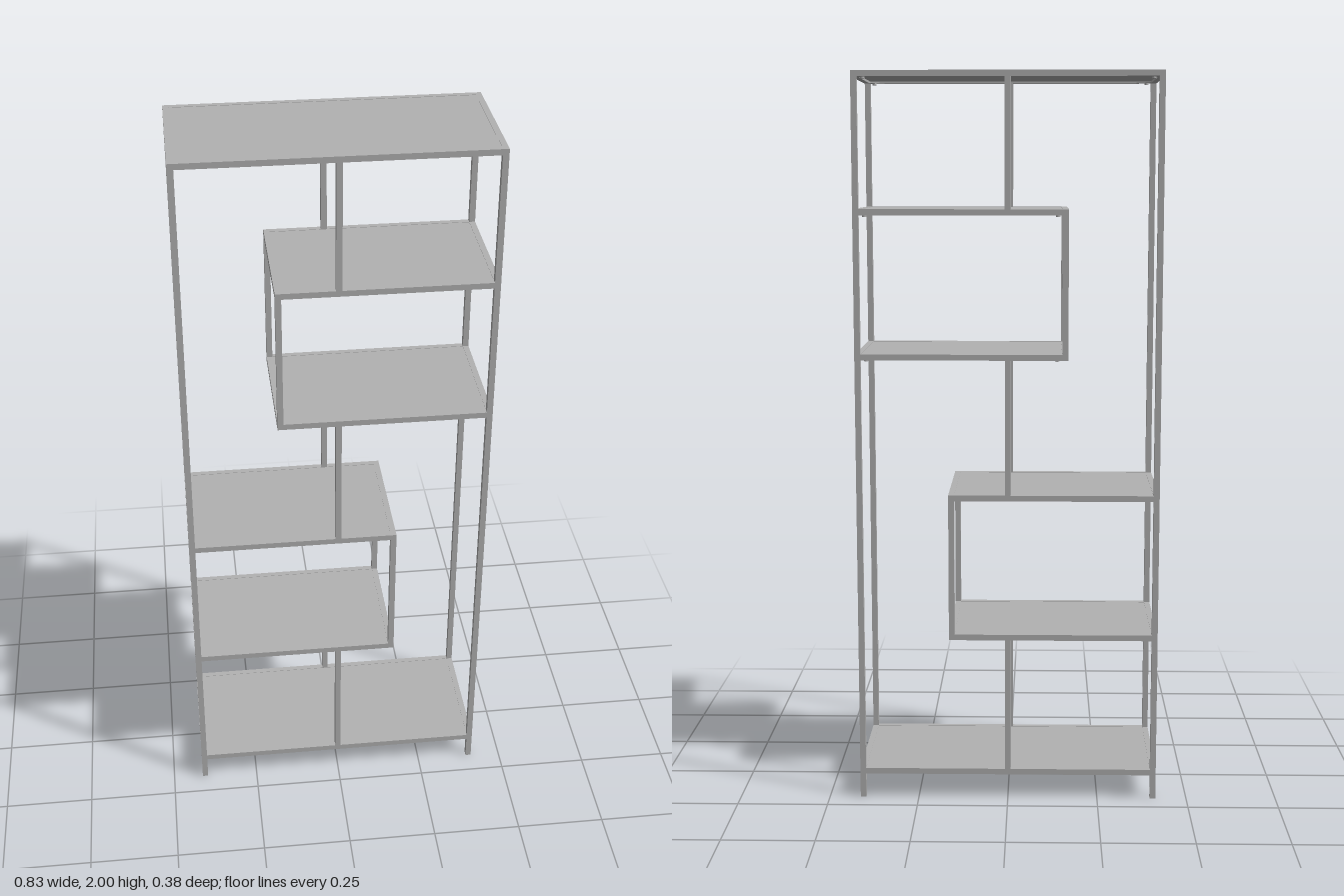
import * as THREE from 'three';

const T = 0.016;            // square tube width
const X = 0.414, Z = 0.188; // outer half width and half depth

export function createModel() {
  const model = new THREE.Group();
  model.name = 'shelvingUnit';
  const steel = new THREE.MeshStandardMaterial({ color: 0xb2b2b2 });
  steel.name = 'grey steel';

  // box given by its limits on each axis
  function bar(parent, name, x0, x1, y0, y1, z0, z1) {
    const mesh = new THREE.Mesh(new THREE.BoxGeometry(x1 - x0, y1 - y0, z1 - z0), steel);
    mesh.position.set((x0 + x1) / 2, (y0 + y1) / 2, (z0 + z1) / 2);
    mesh.name = name;
    parent.add(mesh);
  }

  // matching front and back uprights centred on x
  function uprights(name, x, y0, y1) {
    for (const s of [1, -1]) {
      const z = s * (Z - T / 2);
      bar(model, (s > 0 ? 'front' : 'back') + name, x - T / 2, x + T / 2, y0, y1, z - T / 2, z + T / 2);
    }
  }

  // triangular tab with a screw head, shared by all shelf corners
  const tab = new THREE.Shape([
    new THREE.Vector2(0, 0), new THREE.Vector2(0.04, 0), new THREE.Vector2(0, 0.04),
  ]);
  const tabGeometry = new THREE.ExtrudeGeometry(tab, { depth: 0.002, bevelEnabled: false });
  const screwGeometry = new THREE.CylinderGeometry(0.006, 0.006, 0.005, 12);

  // framed shelf: rails, side rails, sheet panel and corner tabs
  function shelf(name, x0, x1, top) {
    const group = new THREE.Group();
    group.name = name;
    model.add(group);
    const y0 = top - T;
    for (const s of [1, -1]) {
      const z = s * (Z - T / 2);
      bar(group, s > 0 ? 'frontRail' : 'backRail', x0 + T, x1 - T, y0, top, z - T / 2, z + T / 2);
    }
    bar(group, 'rightRail', x0, x0 + T, y0, top, -Z + T, Z - T);
    bar(group, 'leftRail', x1 - T, x1, y0, top, -Z + T, Z - T);
    bar(group, 'panel', x0 + T, x1 - T, top - 0.01, top - 0.001, -Z + T, Z - T);

    for (const sx of [1, -1]) for (const sz of [1, -1]) {
      const cx = sx > 0 ? x0 + T : x1 - T;
      const cz = sz * (-Z + T);
      // turn the right-angled corner towards each frame corner
      const plate = new THREE.Mesh(tabGeometry, steel);
      plate.name = 'cornerTab';
      plate.rotation.order = 'YXZ';
      plate.rotation.set(Math.PI / 2, sx > 0 ? (sz > 0 ? 0 : Math.PI / 2) : (sz > 0 ? -Math.PI / 2 : Math.PI), 0);
      plate.position.set(cx, y0 + 0.002, cz);
      const screw = new THREE.Mesh(screwGeometry, steel);
      screw.name = 'screw';
      screw.position.set(cx + sx * 0.013, y0 - 0.0025, cz + sz * 0.013);
      group.add(plate, screw);
    }
  }

  // corner legs
  uprights('LeftLeg', X - T / 2, 0, 2);
  uprights('RightLeg', -X + T / 2, 0, 2);

  // shelves: full width at the ends, staggered pairs between
  const inner = 0.163;
  shelf('bottomShelf', -X, X, 0.084);
  shelf('lowerBoxFloor', -X, inner, 0.472);
  shelf('lowerBoxTop', -X, inner, 0.864);
  shelf('upperBoxFloor', -inner, X, 1.25);
  shelf('upperBoxTop', -inner, X, 1.638);
  shelf('topShelf', -X, X, 2);

  // open ends of the staggered boxes
  uprights('LowerBoxPost', inner - T / 2, 0.456, 0.864);
  uprights('UpperBoxPost', -inner + T / 2, 1.234, 1.638);

  // short centre posts linking the shelves
  for (const [y0, y1] of [[0.084, 0.456], [0.864, 1.234], [1.638, 1.984]]) {
    uprights('CentrePost', 0, y0, y1);
  }
  return model;
}
